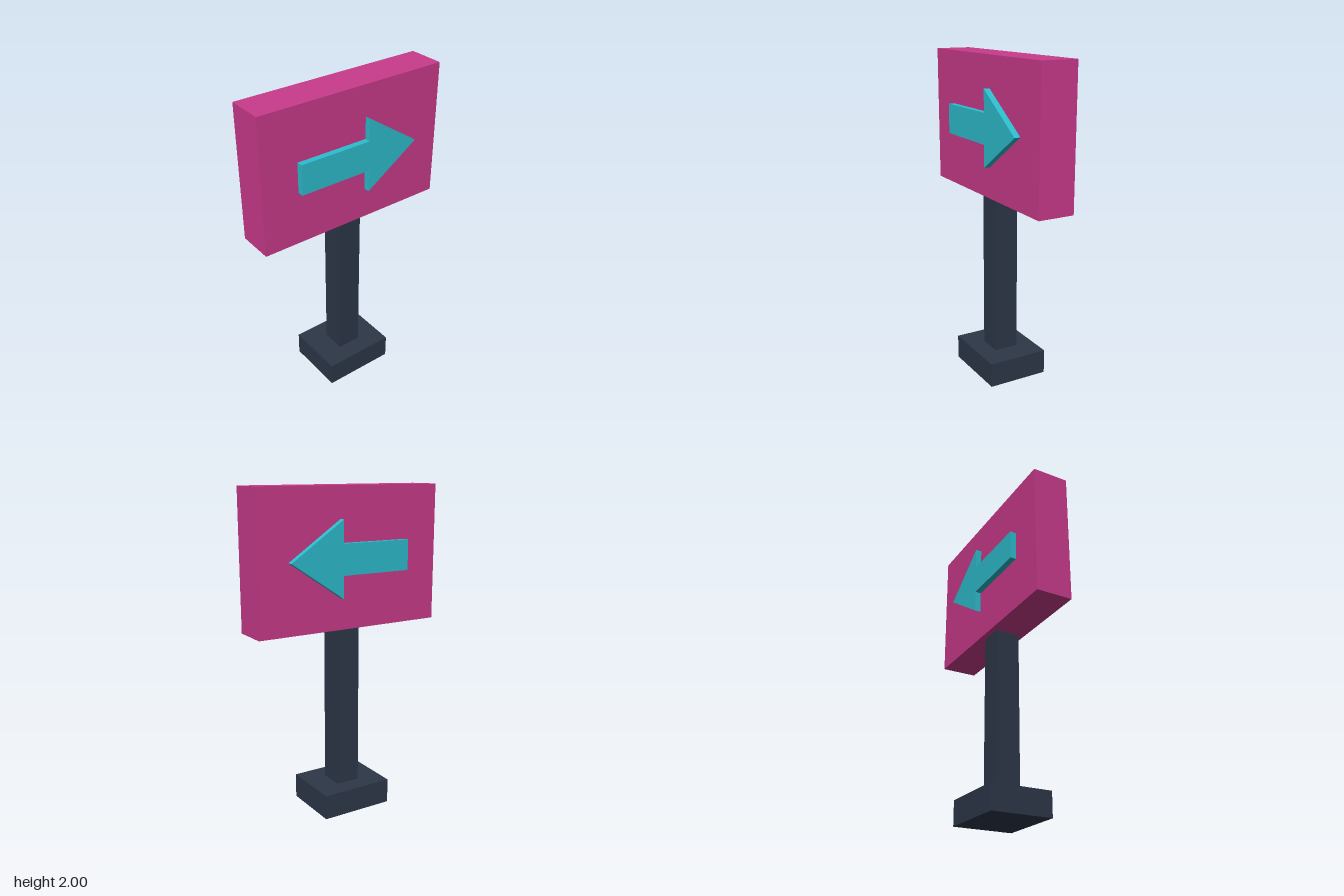
import * as THREE from 'three';

const paint = (name, color) => {
  const m = new THREE.MeshStandardMaterial({ color });
  m.name = name;
  return m;
};

export function createModel() {
  const slate = paint('dark slate', 0x2d3748);
  const pink = paint('pink', 0xc93a8b);
  const cyan = paint('cyan', 0x2dbccc);

  const group = new THREE.Group();
  group.name = 'arrowSign';

  const add = (name, geometry, material, y = 0, z = 0) => {
    const mesh = new THREE.Mesh(geometry, material);
    mesh.name = name;
    mesh.position.set(0, y, z);
    group.add(mesh);
  };

  // Foot, post and board, each placed by its bottom height
  const box = (name, w, h, d, bottom, material) =>
    add(name, new THREE.BoxGeometry(w, h, d), material, bottom + h / 2);
  box('base', 0.46, 0.153, 0.383, 0, slate);
  box('post', 0.153, 1.007, 0.153, 0.153, slate);
  box('board', 1.226, 0.84, 0.228, 1.16, pink);

  // Raised arrow on each side, both pointing to +x
  const arrow = new THREE.Shape([
    [-0.383, -0.093], [0.077, -0.093], [0.077, -0.23], [0.42, 0],
    [0.077, 0.23], [0.077, 0.093], [-0.383, 0.093],
  ].map(([x, y]) => new THREE.Vector2(x, y)));
  const depth = 0.05;
  const arrowGeometry = new THREE.ExtrudeGeometry(arrow, { depth, bevelEnabled: false });
  add('frontArrow', arrowGeometry, cyan, 1.581, 0.152 - depth);
  add('backArrow', arrowGeometry, cyan, 1.581, -0.152);

  return group;
}
